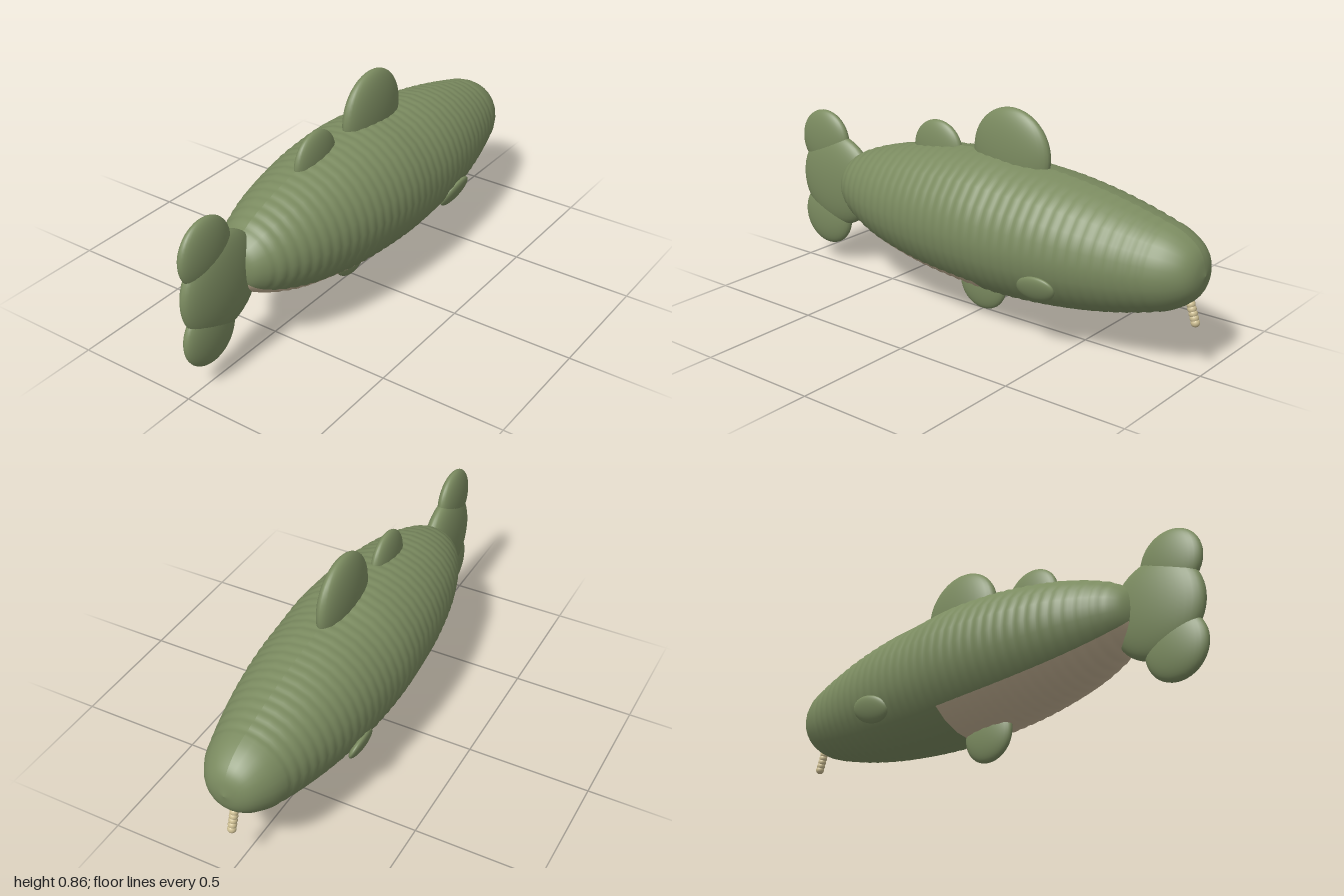
import * as THREE from 'three';

const green = new THREE.MeshStandardMaterial({ color: 0x7b8b60 });
green.name = 'olive green';
const cream = new THREE.MeshStandardMaterial({ color: 0xc4b294 });
cream.name = 'pale belly';
const tan = new THREE.MeshStandardMaterial({ color: 0xcfc094 });
tan.name = 'tan';

// Body stations: x, radius, height of the centre line
const stations = [
  [-0.73, 0, 0.405], [-0.72, 0.05, 0.405], [-0.7, 0.09, 0.405], [-0.65, 0.132, 0.405],
  [-0.6, 0.158, 0.404], [-0.5, 0.196, 0.402], [-0.4, 0.223, 0.401], [-0.2, 0.258, 0.4],
  [0, 0.274, 0.398], [0.1, 0.276, 0.395], [0.2, 0.272, 0.389], [0.4, 0.258, 0.387],
  [0.6, 0.228, 0.385], [0.8, 0.18, 0.385], [0.9, 0.145, 0.387], [0.96, 0.103, 0.388],
  [0.985, 0.065, 0.388], [1, 0, 0.388],
];

// Round body with shallow ridges; the lower rear quarter is the belly
function makeBody() {
  const SEG = 24, ROWS = 240, RIDGE = 0.046;
  const curve = new THREE.CatmullRomCurve3(stations.map((s) => new THREE.Vector3(...s)));
  const rings = curve.getSpacedPoints(ROWS);
  const pos = [], back = [], belly = [];
  rings.forEach((p, i) => {
    const groove = Math.abs(Math.cos((Math.PI * p.x) / RIDGE)) ** 3 * 0.003;
    const inside = p.x > -0.66 && p.x < 0.86;
    const r = Math.max(0, p.y - (inside ? groove : 0));
    for (let j = 0; j <= SEG; j++) {
      const a = (j / SEG) * Math.PI * 2;
      pos.push(p.x, p.z + r * Math.cos(a), r * Math.sin(a));
      if (i === ROWS || j === SEG) continue;
      const k = i * (SEG + 1) + j, n = k + SEG + 1;
      const list = p.x > -0.71 && p.x < 0.1 && j >= 9 && j < 15 ? belly : back;
      list.push(k, k + 1, n, k + 1, n + 1, n);
    }
  });
  const g = new THREE.BufferGeometry();
  g.setAttribute('position', new THREE.Float32BufferAttribute(pos, 3));
  g.setIndex([...back, ...belly]);
  g.addGroup(0, back.length, 0);
  g.addGroup(back.length, belly.length, 1);
  g.computeVertexNormals();
  const mesh = new THREE.Mesh(g, [green, cream]);
  mesh.name = 'body';
  return mesh;
}

// Ellipsoid from its centre and half sizes
function blob(name, centre, size, material = green) {
  const mesh = new THREE.Mesh(new THREE.SphereGeometry(1, 32, 24), material);
  mesh.name = name;
  mesh.position.set(...centre);
  mesh.scale.set(...size);
  return mesh;
}

export function createModel() {
  const model = new THREE.Group();
  model.name = 'fish';
  model.add(makeBody());

  // Fins along the middle
  model.add(
    blob('largeDorsalFin', [0.14, 0.68, 0], [0.18, 0.18, 0.054]),
    blob('smallDorsalFin', [-0.23, 0.63, 0], [0.122, 0.12, 0.037]),
    blob('bellyFin', [0, 0.115, 0], [0.115, 0.115, 0.035]),
  );

  // Tail fin
  model.add(
    blob('tailBase', [-0.8, 0.39, 0], [0.2, 0.2, 0.06]),
    blob('upperTailLobe', [-0.868, 0.555, 0], [0.132, 0.132, 0.042]),
    blob('lowerTailLobe', [-0.868, 0.218, 0], [0.132, 0.132, 0.042]),
  );

  // Side fins lying against the body
  for (const side of [1, -1]) {
    const fin = blob(side > 0 ? 'frontSideFin' : 'backSideFin',
      [0.425, 0.265, side * 0.228], [0.09, 0.056, 0.02]);
    fin.rotation.set(side * 0.38, 0, 0.25);
    model.add(fin);
  }

  // Beaded chin barbel
  const barbel = new THREE.Group();
  barbel.name = 'chinBarbel';
  for (let i = 0; i < 5; i++) {
    const t = i / 4;
    barbel.add(blob('barbelBead', [0.946 + 0.022 * t, 0.268 - 0.066 * t, 0],
      [0.017, 0.017, 0.017], tan));
  }
  model.add(barbel);
  return model;
}
